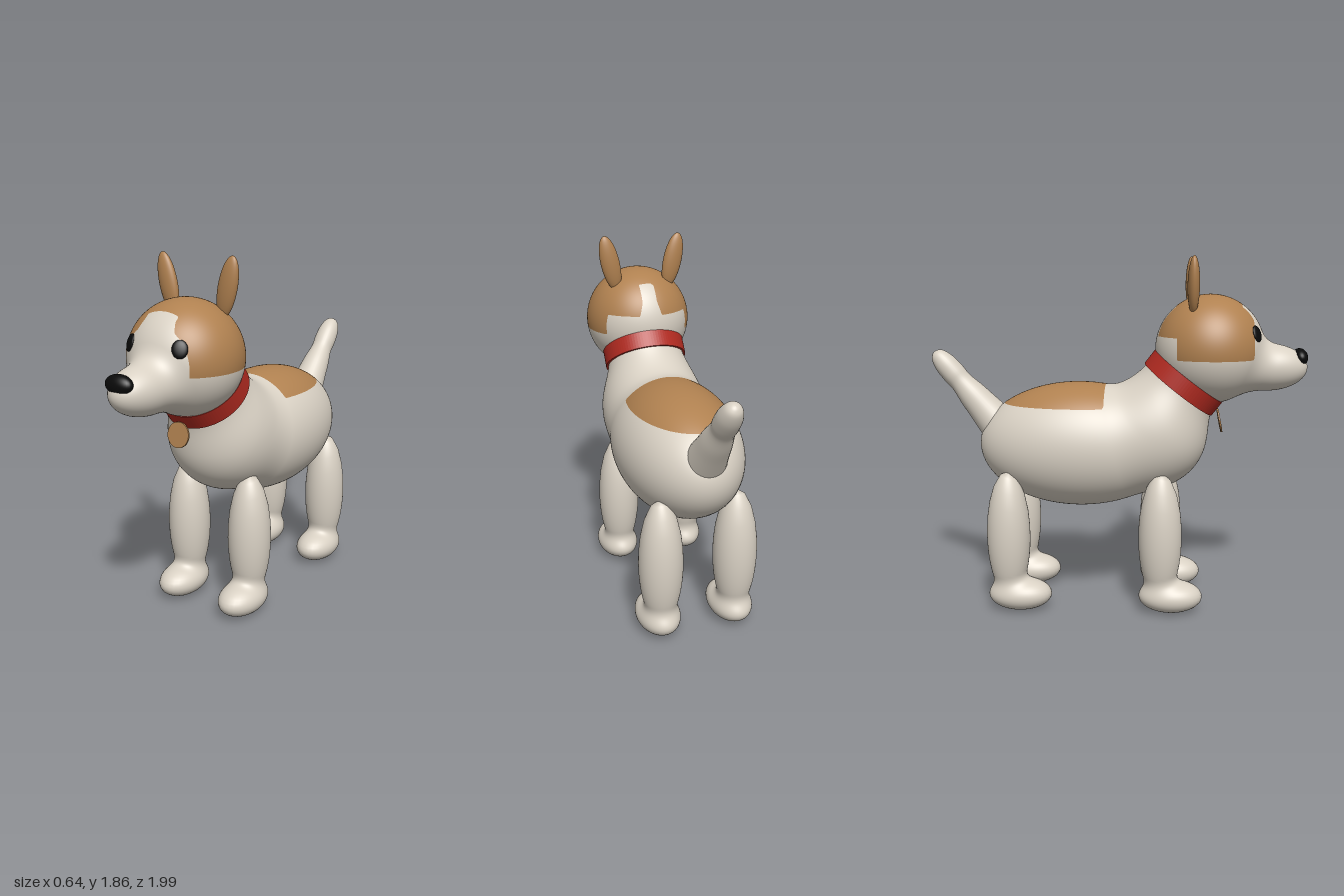
import * as THREE from 'three';

const material = (name, color) => {
  const m = new THREE.MeshStandardMaterial({ color });
  m.name = name;
  return m;
};

// --- Distance fields used to melt the round masses together ---
const ellipsoid = (c, r) => (p) => {
  const x = p.x - c[0], y = p.y - c[1], z = p.z - c[2];
  const k0 = Math.hypot(x / r[0], y / r[1], z / r[2]);
  const k1 = Math.hypot(x / r[0] ** 2, y / r[1] ** 2, z / r[2] ** 2);
  return k1 < 1e-6 ? -Math.min(...r) : (k0 * (k0 - 1)) / k1;
};
const capsule = (a, b, r) => {
  const line = new THREE.Line3(new THREE.Vector3(...a), new THREE.Vector3(...b));
  const near = new THREE.Vector3();
  return (p) => line.closestPointToPoint(p, true, near).distanceTo(p) - r;
};
const blend = (k, ...fields) => (p) => fields.map((f) => f(p)).reduce((a, b) => {
  const h = Math.max(k - Math.abs(a - b), 0) / k;
  return Math.min(a, b) - h * h * k * 0.25;
});

// Shrink a sphere onto a field, seen from an inner centre
function wrap(field, center, segments, alongZ = false) {
  const geo = new THREE.SphereGeometry(1, segments, Math.round(segments * 0.75));
  if (alongZ) geo.rotateX(Math.PI / 2);
  const pos = geo.attributes.position, normal = geo.attributes.normal;
  const c = new THREE.Vector3(...center);
  const dir = new THREE.Vector3(), p = new THREE.Vector3(), q = new THREE.Vector3(), n = new THREE.Vector3();
  for (let i = 0; i < pos.count; i++) {
    dir.fromBufferAttribute(pos, i).normalize();
    let t = 1.3;
    for (let s = 0; s < 80; s++) {
      const d = field(p.copy(c).addScaledVector(dir, t));
      if (Math.abs(d) < 1e-5) break;
      t -= d * 0.75;
    }
    p.copy(c).addScaledVector(dir, t);
    const e = 0.002;
    for (const axis of ['x', 'y', 'z']) {
      q.copy(p)[axis] += e;
      const high = field(q);
      q[axis] -= 2 * e;
      n[axis] = high - field(q);
    }
    n.normalize();
    pos.setXYZ(i, p.x, p.y, p.z);
    normal.setXYZ(i, n.x, n.y, n.z);
  }
  return geo;
}

// Cut a surface along rule(p) = 0, returning the [inside, outside] pieces
function split(geo, rule) {
  const flat = geo.toNonIndexed(), pos = flat.attributes.position, nor = flat.attributes.normal;
  const out = [{ p: [], n: [] }, { p: [], n: [] }];
  for (let i = 0; i < pos.count; i += 3) {
    const tri = [0, 1, 2].map((k) => {
      const p = new THREE.Vector3().fromBufferAttribute(pos, i + k);
      return { p, n: new THREE.Vector3().fromBufferAttribute(nor, i + k), f: rule(p) };
    });
    [1, -1].forEach((sign, side) => {
      const poly = [];
      tri.forEach((a, k) => {
        const b = tri[(k + 1) % 3];
        if (a.f * sign >= 0) poly.push(a);
        if (a.f * b.f < 0) {
          const t = a.f / (a.f - b.f);
          poly.push({ p: a.p.clone().lerp(b.p, t), n: a.n.clone().lerp(b.n, t).normalize() });
        }
      });
      for (let k = 1; k + 1 < poly.length; k++) {
        for (const v of [poly[0], poly[k], poly[k + 1]]) {
          out[side].p.push(...v.p.toArray());
          out[side].n.push(...v.n.toArray());
        }
      }
    });
  }
  return out.map(({ p, n }) => {
    const g = new THREE.BufferGeometry();
    g.setAttribute('position', new THREE.Float32BufferAttribute(p, 3));
    g.setAttribute('normal', new THREE.Float32BufferAttribute(n, 3));
    return g;
  });
}

export function createModel() {
  const model = new THREE.Group();
  model.name = 'dog';
  const white = material('white coat', 0xd9d1c4);
  const brown = material('brown patch', 0xb08150);
  const black = material('black', 0x0a0a0a);
  const red = material('red collar', 0xb02a20);

  const add = (name, geo, mat, at = [0, 0, 0]) => {
    const mesh = new THREE.Mesh(geo, mat);
    mesh.name = name;
    mesh.position.set(...at);
    model.add(mesh);
    return mesh;
  };
  const ball = (name, mat, at, r) =>
    add(name, new THREE.SphereGeometry(1, 32, 24).scale(...r), mat, at);

  // Torso: belly, chest and neck, with a saddle patch
  const torso = blend(0.09,
    ellipsoid([0, 0.87, -0.2], [0.32, 0.333, 0.538]),
    ellipsoid([0, 0.94, 0.2], [0.278, 0.295, 0.28]),
    capsule([0, 1.0, 0.2], [0, 1.2, 0.34], 0.205));
  const [saddle, coat] = split(wrap(torso, [0, 0.93, 0.03], 112, true),
    (p) => Math.min(p.y - 1.09, -0.06 - p.z));
  add('saddlePatch', saddle, brown);
  add('torso', coat, white);

  // Head and muzzle, with a cap patch leaving a blaze in front and a notch behind
  const skull = blend(0.08,
    ellipsoid([0, 1.38, 0.485], [0.285, 0.285, 0.285]),
    ellipsoid([0, 1.287, 0.78], [0.127, 0.124, 0.215]));
  const capRule = (p) => {
    const x = Math.abs(p.x);
    return Math.min(
      p.y - 1.34,
      0.7 - p.z,
      Math.max(p.z - 0.31, p.y - 1.45),
      Math.max(x - 0.088 - 0.4 * Math.max(0, 1.58 - p.y), 0.643 - p.z),
      Math.max(x - 0.04 - 0.3 * Math.max(0, 1.52 - p.y), p.z - 0.31));
  };
  const [cap, face] = split(wrap(skull, [0, 1.36, 0.54], 112, true), capRule);
  add('headPatch', cap, brown);
  add('head', face, white);
  ball('nose', black, [0, 1.34, 0.956], [0.075, 0.046, 0.039]).rotation.x = -0.3;

  for (const s of [1, -1]) {
    const side = s > 0 ? 'left' : 'right';

    // Ears and eyes
    ball(side + 'Ear', brown, [s * 0.176, 1.71, 0.39], [0.052, 0.15, 0.031]).rotation.z = -s * 0.22;
    const eye = ball(side + 'Eye', black, [s * 0.145, 1.47, 0.713], [0.037, 0.043, 0.012]);
    eye.lookAt(s * 0.29, 1.56, 0.941);

    // Legs melting into paws
    for (const [name, z] of [['FrontLeg', 0.235], ['HindLeg', -0.565]]) {
      const leg = blend(0.05,
        ellipsoid([0, 0.41, 0], [0.112, 0.345, 0.114]),
        ellipsoid([0, 0.086, 0.057], [0.112, 0.086, 0.168]));
      add(side + name, wrap(leg, [0, 0.13, 0.01], 56), white, [s * 0.196, 0, z]);
    }
  }

  // Tail: two swellings along a raised axis
  const tailShape = new THREE.SplineCurve([[0.1, 0], [0.086, 0.1], [0.075, 0.19], [0.06, 0.28],
    [0.062, 0.34], [0.058, 0.41], [0.042, 0.465], [0.02, 0.488], [0, 0.494]]
    .map(([r, y]) => new THREE.Vector2(r, y)));
  const tailPoints = tailShape.getPoints(36).map((p) => p.setX(Math.max(p.x, 0)));
  add('tail', new THREE.LatheGeometry(tailPoints, 32), white, [0, 0.985, -0.655]).rotation.x = -0.71;

  // Collar: a tilted band with crisp rims
  const band = new THREE.Shape().absarc(0, 0, 0.225, 0, Math.PI * 2);
  band.holes.push(new THREE.Path().absarc(0, 0, 0.185, 0, Math.PI * 2, true));
  const bandGeo = new THREE.ExtrudeGeometry(band, { depth: 0.09, bevelEnabled: false, curveSegments: 48 });
  bandGeo.translate(0, 0, -0.045).rotateX(-Math.PI / 2);
  add('collar', bandGeo, red, [0, 1.203, 0.351]).rotation.x = 0.655;

  // Collar tag
  const tag = new THREE.CylinderGeometry(0.064, 0.064, 0.009, 40).rotateX(Math.PI / 2);
  add('collarTag', tag, brown, [-0.012, 1.003, 0.543]).rotation.x = -0.19;

  return model;
}
